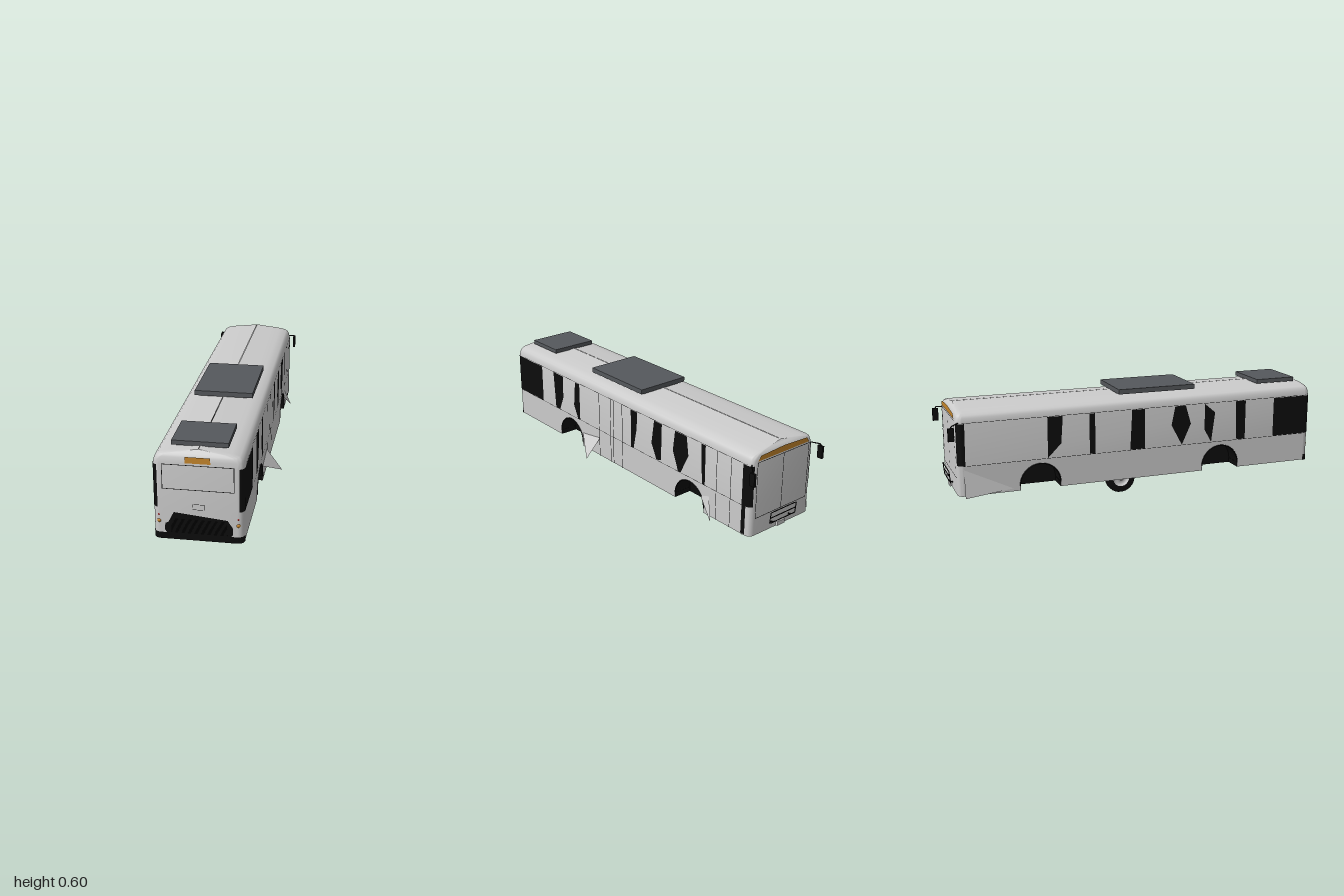
import * as THREE from 'three';
import { toCreasedNormals } from 'three/addons/utils/BufferGeometryUtils.js';

const CX = -0.03, HW = 0.206, REAR = 0.995, FRONT = -0.955, FLOOR = 0.135, R = 0.03;
const ARCHES = [0.455, -0.54], ARCH_R = 0.105, ARCH_Y = 0.16;

const mat = (color) => new THREE.MeshStandardMaterial({ color, side: THREE.DoubleSide });
const grey = mat(0xcccccc), black = mat(0x0c0c0c), dark = mat(0x55585c), orange = mat(0xc4852c), red = mat(0x8c1c1c);

export function createModel() {
  const bus = new THREE.Group();
  bus.name = 'bus';

  const add = (name, geometry, material, x = 0, y = 0, z = 0) => {
    const mesh = new THREE.Mesh(geometry, material);
    mesh.name = name;
    mesh.position.set(x, y, z);
    bus.add(mesh);
    return mesh;
  };
  // box given by its extents on each axis
  const box = (name, m, [x0, x1], [y0, y1], [z0, z1]) =>
    add(name, new THREE.BoxGeometry(x1 - x0, y1 - y0, z1 - z0), m, (x0 + x1) / 2, (y0 + y1) / 2, (z0 + z1) / 2);
  const shapeOf = (pts) => new THREE.Shape(pts.map(([a, b]) => new THREE.Vector2(a, b)));
  const endPanel = (name, m, z, pts) => add(name, new THREE.ShapeGeometry(shapeOf(pts)), m, 0, 0, z);
  const sidePanel = (name, m, side, pts, lift = 0.0015) =>
    add(name, new THREE.ShapeGeometry(shapeOf(pts)).rotateY(-Math.PI / 2), m, CX + side * (HW + lift));
  const rect = (a0, a1, b0, b1) => [[a0, b0], [a1, b0], [a1, b1], [a0, b1]];
  const frame = (name, z, x0, x1, y0, y1, t = 0.003) => {
    const s = shapeOf(rect(x0, x1, y0, y1));
    s.holes.push(shapeOf(rect(x0 + t, x1 - t, y0 + t, y1 - t)));
    add(name, new THREE.ShapeGeometry(s), black, 0, 0, z);
  };
  const triangle = (name, m, ...corners) => {
    const g = new THREE.BufferGeometry().setFromPoints(corners.map((c) => new THREE.Vector3(...c)));
    g.computeVertexNormals();
    add(name, g, m);
  };
  const tube = (name, r, closed, ...pts) => {
    const path = new THREE.CurvePath();
    const v = pts.map((p) => new THREE.Vector3(...p));
    if (closed) v.push(v[0]);
    for (let i = 1; i < v.length; i++) path.add(new THREE.LineCurve3(v[i - 1], v[i]));
    add(name, new THREE.TubeGeometry(path, 32, r, 6), black);
  };

  // body: rounded rectangles stacked upwards [height, half width, inset at both ends]
  const levels = [[FLOOR, HW, 0], [0.285, HW, 0], [0.505, 0.205, 0], [0.525, 0.201, 0.002], [0.538, 0.195, 0.004],
    [0.548, 0.183, 0.008], [0.557, 0.145, 0.014], [0.564, 0.09, 0.02], [0.574, 0.001, 0.025]];
  const pos = [], index = [], SEG = 6, N = 4 * (SEG + 1);
  for (const [y, hw, inset] of levels) {
    const r = Math.min(R, hw);
    for (let c = 0; c < 4; c++) {
      for (let i = 0; i <= SEG; i++) {
        const a = (c + i / SEG) * Math.PI / 2;
        const sx = c === 0 || c === 3 ? 1 : -1;
        const z = c < 2 ? REAR - inset - R : FRONT + inset + R;
        pos.push(CX + sx * (hw - r) + r * Math.cos(a), y, z + R * Math.sin(a));
      }
    }
  }
  for (let l = 0; l < levels.length - 1; l++) {
    for (let i = 0; i < N; i++) {
      const longSide = i === 2 * SEG + 1 || i === N - 1;
      if (l === 0 && longSide) continue; // skirts with wheel arches go here
      const j = (i + 1) % N, a = l * N + i, b = l * N + j;
      index.push(a, a + N, b, b, a + N, b + N);
    }
  }
  const shell = new THREE.BufferGeometry();
  shell.setAttribute('position', new THREE.Float32BufferAttribute(pos, 3));
  shell.setIndex(index);
  add('bodyShell', toCreasedNormals(shell, 0.6), grey);

  // skirts, wheel wells and floor
  const zA = FRONT + R, zB = REAR - R;
  const floor = new THREE.Shape();
  floor.moveTo(CX - HW + R, FRONT);
  for (const side of [1, -1]) {
    const skirt = new THREE.Shape();
    skirt.moveTo(zB, 0.285);
    skirt.lineTo(zB, FLOOR);
    for (const z of ARCHES) {
      skirt.lineTo(z + ARCH_R, FLOOR);
      skirt.absarc(z, ARCH_Y, ARCH_R, 0, Math.PI, false);
      skirt.lineTo(z - ARCH_R, FLOOR);
      const well = new THREE.CylinderGeometry(ARCH_R, ARCH_R, 0.1, 24, 1, true, 0, Math.PI);
      add('wheelWell', well.rotateZ(Math.PI / 2), black, CX + side * (HW - 0.05), ARCH_Y, z);
      sidePanel('wheelWellBack', black, side, rect(z - ARCH_R, z + ARCH_R, FLOOR, ARCH_Y + ARCH_R), -0.1);
      for (const e of [-1, 1])
        box('wheelWellEdge', black, [CX + side * (HW - 0.05) - 0.05, CX + side * (HW - 0.05) + 0.05],
          [FLOOR, ARCH_Y], [z + e * ARCH_R - 0.001, z + e * ARCH_R + 0.001]);
      const lip = new THREE.TorusGeometry(ARCH_R, 0.003, 6, 24, Math.PI).rotateY(Math.PI / 2);
      add('archLip', lip, black, CX + side * HW, ARCH_Y, z);
    }
    skirt.lineTo(zA, FLOOR);
    skirt.lineTo(zA, 0.285);
    add('skirt', new THREE.ShapeGeometry(skirt).rotateY(-Math.PI / 2), grey, CX + side * HW);

    const x = CX + side * HW, inner = x - side * 0.1;
    const run = [[x - side * R, FRONT], [x, zA]];
    for (const z of [...ARCHES].reverse())
      run.push([x, z - ARCH_R], [inner, z - ARCH_R], [inner, z + ARCH_R], [x, z + ARCH_R]);
    run.push([x, zB], [x - side * R, REAR]);
    if (side < 0) run.reverse();
    run.forEach((p) => floor.lineTo(...p));
  }
  add('floor', new THREE.ShapeGeometry(floor).rotateX(Math.PI / 2), black, 0, FLOOR);

  // dark window sections: [z, y] outlines
  const darkGlass = {
    1: [rect(0.735, zB, 0.29, 0.5), [[0.62, 0.5], [0.525, 0.5], [0.53, 0.37], [0.565, 0.29], [0.605, 0.29], [0.61, 0.37]],
      [[0.41, 0.5], [0.37, 0.5], [0.37, 0.29], [0.39, 0.29], [0.425, 0.36]],
      [[-0.083, 0.5], [-0.136, 0.5], [-0.13, 0.4], [-0.105, 0.29], [-0.083, 0.29]],
      [[-0.27, 0.5], [-0.33, 0.5], [-0.325, 0.3], [-0.29, 0.29], [-0.25, 0.37]],
      [[-0.43, 0.5], [-0.515, 0.5], [-0.53, 0.4], [-0.475, 0.29], [-0.455, 0.29], [-0.415, 0.39]],
      [[-0.62, 0.5], [-0.65, 0.5], [-0.65, 0.29], [-0.63, 0.29]], rect(zA, -0.9, 0.14, 0.5)],
    [-1]: [rect(0.77, zB, 0.29, 0.5), [[0.54, 0.5], [0.6, 0.5], [0.6, 0.29], [0.55, 0.29]],
      [[0.36, 0.5], [0.42, 0.45], [0.4, 0.29], [0.36, 0.36]],
      [[0.19, 0.5], [0.25, 0.5], [0.28, 0.4], [0.23, 0.29], [0.17, 0.4]],
      [[-0.05, 0.5], [0.02, 0.5], [0.02, 0.29], [-0.06, 0.29]], rect(-0.28, -0.25, 0.29, 0.5),
      [[-0.5, 0.5], [-0.42, 0.5], [-0.43, 0.36], [-0.5, 0.29]]],
  };
  for (const side of [1, -1]) {
    darkGlass[side].forEach((pts) => sidePanel('darkWindow', black, side, pts));
    for (const y of [0.288, 0.503])
      sidePanel('windowLine', black, side, rect(zA, zB, y - 0.001, y + 0.001), 0.001);
    // wrapped corner glass, rear corner bumpers and front pillars
    const corner = (name, y0, y1, z, start) => add(name,
      new THREE.CylinderGeometry(R + 0.0015, R + 0.0015, y1 - y0, 8, 1, true, start, Math.PI / 2),
      black, CX + side * (HW - R), (y0 + y1) / 2, z);
    corner('rearCornerGlass', 0.29, 0.5, zB, side > 0 ? 0.3 : -Math.PI / 2 - 0.3);
    corner('rearCornerBumper', 0.133, 0.165, zB, side > 0 ? 0 : -Math.PI / 2);
    corner('frontPillar', 0.29, 0.5, zA, side > 0 ? Math.PI / 2 - 0.4 : Math.PI + 0.4);
    // mirrors
    const mx = CX + side * 0.229;
    box('mirror', black, [mx - 0.006, mx + 0.006], [0.425, 0.49], [-0.998, -0.968]);
    tube('mirrorArm', 0.003, false, [CX + side * 0.195, 0.505, -0.94], [mx, 0.498, -0.98], [mx, 0.47, -0.985]);
    // tail lights
    for (const [m, y, r] of [[orange, 0.222, 0.011], [red, 0.253, 0.008]])
      add('tailLight', new THREE.SphereGeometry(r, 14, 8), m, CX + side * 0.18, y, 0.988);
  }

  // door seams on the kerb side
  for (const z of [0.19, 0.09, 0.065, -0.01])
    sidePanel('middleDoorSeam', black, 1, rect(z - 0.002, z + 0.002, FLOOR, 0.5), 0.002);
  for (const z of [-0.73, -0.825, -0.91])
    sidePanel('frontDoorSeam', black, 1, rect(z - 0.0015, z + 0.0015, FLOOR, 0.5), 0.002);

  // rear end: window frame, sign, hatch, grille, bumper
  const rz = REAR + 0.002;
  frame('rearWindowFrame', rz, -0.193, 0.133, 0.384, 0.506);
  endPanel('rearSign', orange, rz, rect(-0.087, 0.027, 0.515, 0.545));
  frame('plateFrame', rz, -0.057, -0.002, 0.288, 0.316, 0.002);
  endPanel('grille', black, rz, [[-0.175, 0.165], [-0.185, 0.18], [-0.182, 0.212], [-0.168, 0.218], [-0.142, 0.27],
    [0.102, 0.245], [0.125, 0.21], [0.127, 0.175], [0.115, 0.16]]);
  for (let i = 0; i < 9; i++) {
    const y = 0.168 + i * 0.008;
    box('grilleSlat', black, [-0.155, 0.1], [y, y + 0.003], [rz, rz + 0.002]);
  }
  endPanel('rearBumper', black, rz, rect(CX - HW + R, CX + HW - R, 0.133, 0.165));

  // driving end: split windscreen, sign, rack, plate
  const fz = FRONT - 0.002;
  frame('windscreenFrame', fz, -0.203, 0.143, 0.225, 0.515);
  endPanel('windscreenDivider', black, fz, rect(CX - 0.0015, CX + 0.0015, 0.225, 0.515));
  endPanel('destinationSign', orange, fz, [[-0.2, 0.521], [0.14, 0.521], [0.125, 0.545], [-0.03, 0.553], [-0.185, 0.545]]);
  tube('frontRack', 0.0025, true, [-0.117, 0.175, -0.972], [0.057, 0.175, -0.972], [0.057, 0.235, -0.978], [-0.117, 0.235, -0.978]);
  tube('frontRackBar', 0.0025, false, [-0.117, 0.205, -0.975], [0.057, 0.205, -0.975]);
  for (const x of [-0.09, 0.03]) tube('rackMount', 0.003, false, [x, 0.175, -0.972], [x, 0.17, -0.95]);
  box('frontPlate', grey, [-0.055, -0.005], [0.138, 0.16], [-0.966, -0.955]);

  // loose skirt flaps
  triangle('skirtFlap', grey, [0.176, 0.215, 0.35], [0.176, 0.24, 0.19], [0.26, 0.133, 0.205]);
  triangle('skirtFlap', grey, [0.176, 0.22, -0.62], [0.176, 0.24, -0.68], [0.211, 0.133, -0.73]);
  triangle('skirtFlap', grey, [-0.236, 0.27, -0.925], [-0.236, 0.15, -0.68], [-0.261, 0.13, -0.925]);

  // roof units
  box('roofUnit', dark, [-0.175, 0.118], [0.572, 0.597], [-0.1, 0.325]);
  box('rearRoofUnit', dark, [-0.16, 0.098], [0.57, 0.592], [0.705, 0.93]);

  // central wheel
  const tyre = [[0.045, -0.026], [0.07, -0.026], [0.078, -0.021], [0.081, -0.012], [0.081, 0.012], [0.078, 0.021], [0.07, 0.026], [0.045, 0.026]];
  const lathe = (pts) => new THREE.LatheGeometry(pts.map(([r, y]) => new THREE.Vector2(r, y)), 32).rotateZ(-Math.PI / 2);
  add('tyre', lathe(tyre), black, -0.029, 0.081, -0.043);
  for (const side of [1, -1]) {
    const rim = [[0.001, 0.024], [0.014, 0.024], [0.017, 0.014], [0.036, 0.016], [0.041, 0.025], [0.046, 0.026]];
    add('rim', lathe(rim.map(([r, y]) => [r, y * side])), grey, -0.029, 0.081, -0.043);
  }
  return bus;
}
